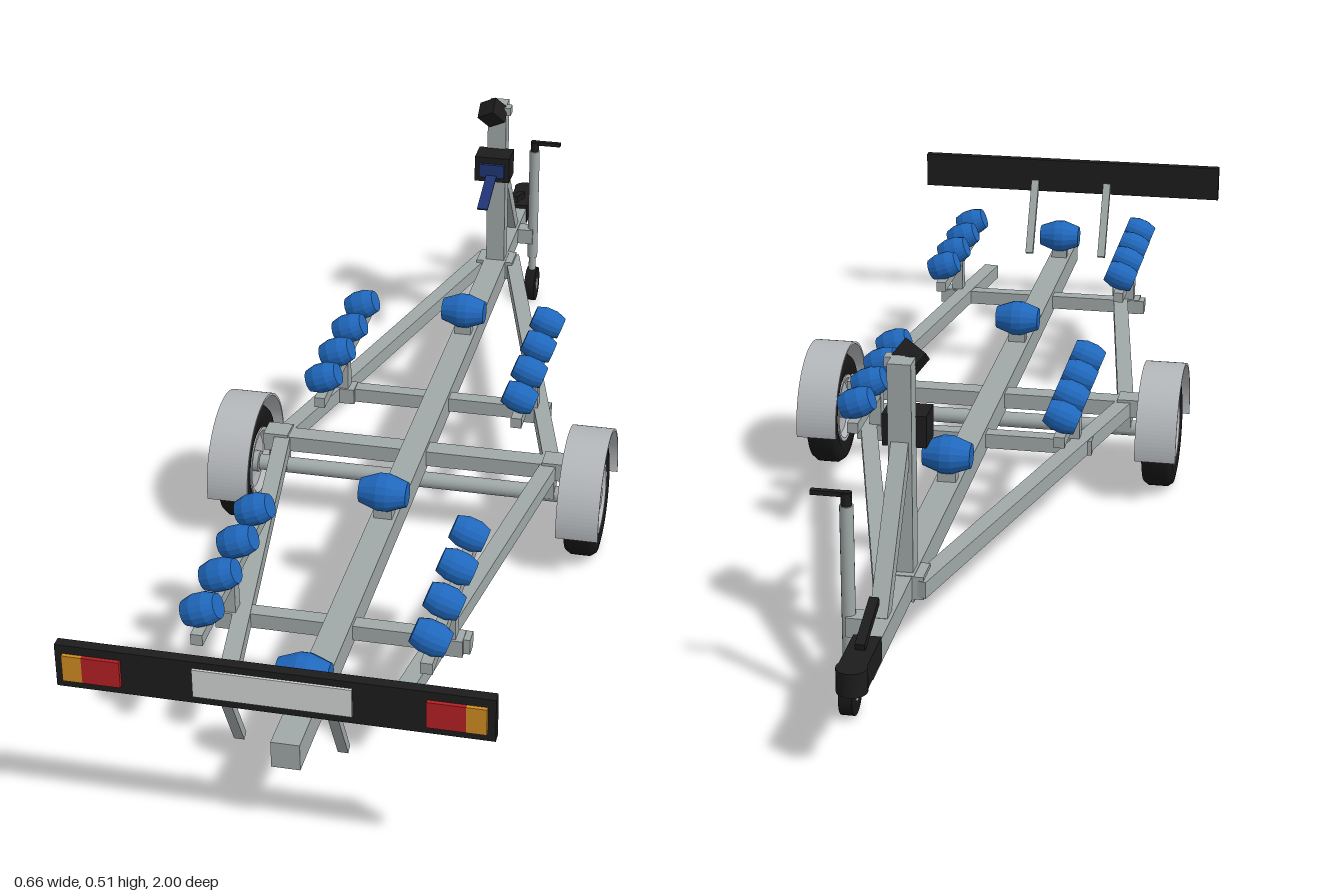
import * as THREE from 'three';

const mat = (name, color) => Object.assign(new THREE.MeshStandardMaterial({ color }), { name });

export function createModel() {
  const steel = mat('galvanised steel', 0xa0a8a8);
  const fenderGrey = mat('fender grey', 0xb4b7ba);
  const black = mat('black plastic', 0x1c1c1c);
  const rubber = mat('tyre rubber', 0x171717);
  const blue = mat('roller blue', 0x2068bd);
  const navy = mat('strap navy', 0x1f3474);
  const red = mat('lamp red', 0xb42024);
  const amber = mat('lamp amber', 0xcf8c22);
  const white = mat('plate white', 0xd2d4d4);

  const root = new THREE.Group();
  root.name = 'boatTrailer';

  const add = (name, geo, material, x = 0, y = 0, z = 0, parent = root) => {
    const m = new THREE.Mesh(geo, material);
    m.name = name;
    m.position.set(x, y, z);
    parent.add(m);
    return m;
  };
  const box = (name, material, w, h, d, x, y, z, parent) =>
    add(name, new THREE.BoxGeometry(w, h, d), material, x, y, z, parent);
  // square beam between two points
  const bar = (name, material, a, b, w, h) => {
    const p = new THREE.Vector3(...a), q = new THREE.Vector3(...b);
    const m = box(name, material, w, h, p.distanceTo(q), ...p.clone().add(q).multiplyScalar(0.5).toArray());
    m.lookAt(q);
    return m;
  };
  // turned shape with its axis along x
  const turned = (pts, sides, flat) => {
    let g = new THREE.LatheGeometry(pts.map(p => new THREE.Vector2(...p)), sides).rotateZ(-Math.PI / 2);
    if (flat) {
      g = g.toNonIndexed();
      g.computeVertexNormals();
    }
    return g;
  };
  const disc = (r, w, sides = 24) => new THREE.CylinderGeometry(r, r, w, sides).rotateZ(Math.PI / 2);

  // ---- frame ----
  box('spineBeam', steel, 0.042, 0.042, 1.62, 0, 0.141, 0.13);
  box('drawbar', steel, 0.036, 0.036, 0.25, 0, 0.143, -0.805);
  box('axleCrossBeam', steel, 0.5, 0.027, 0.034, 0, 0.142, 0.09);
  for (const z of [-0.097, 0.618]) box('crossMember', steel, 0.4, 0.025, 0.025, 0, 0.141, z);
  add('axleTube', disc(0.0135, 0.54), steel, 0, 0.097, 0.1);

  // ---- rollers ----
  const keelRoller = turned([[0, -0.0385], [0.02, -0.0385], [0.031, -0.008], [0.031, 0.008], [0.02, 0.0385], [0, 0.0385]], 16, true);
  const bunkRoller = turned([[0, -0.027], [0.019, -0.027], [0.025, -0.01], [0.025, 0.01], [0.019, 0.027], [0, 0.027]], 16, true);
  for (const z of [-0.325, 0.328, 0.832]) {
    box('keelRollerBracket', steel, 0.03, 0.03, 0.022, 0, 0.172, z);
    add('keelRoller', keelRoller, blue, 0, 0.205, z);
  }

  // ---- wheel shapes ----
  const tyre = turned([[0.058, -0.022], [0.076, -0.0275], [0.091, -0.025], [0.0975, -0.016],
    [0.0975, 0.016], [0.091, 0.025], [0.076, 0.0275], [0.058, 0.022]], 36);
  const rim = turned([[0, -0.014], [0.03, -0.014], [0.046, -0.016], [0.054, -0.025], [0.06, -0.025],
    [0.06, 0.025], [0.054, 0.025], [0.046, 0.016], [0.03, 0.014], [0, 0.014]], 32, true);
  const arch = new THREE.Shape();
  arch.absarc(0, 0, 0.118, -0.12, Math.PI + 0.12, false);
  arch.absarc(0, 0, 0.114, Math.PI + 0.12, -0.12, true);
  const fender = new THREE.ExtrudeGeometry(arch, { depth: 0.07, bevelEnabled: false, curveSegments: 28 })
    .translate(0, 0, -0.035).rotateY(Math.PI / 2);

  // ---- both sides ----
  for (const s of [1, -1]) {
    bar('frontRail', steel, [s * 0.026, 0.142, -0.68], [s * 0.233, 0.142, 0.09], 0.027, 0.026);
    bar('rearRail', steel, [s * 0.233, 0.142, 0.08], [s * 0.13, 0.142, 0.77], 0.027, 0.026);
    box('fenderBracket', steel, 0.042, 0.032, 0.04, s * 0.24, 0.144, 0.09);
    box('axleBracket', steel, 0.021, 0.04, 0.03, s * 0.231, 0.115, 0.1);

    add('tyre', tyre, rubber, s * 0.295, 0.0975, 0.1);
    add('rim', rim, fenderGrey, s * 0.295, 0.0975, 0.1);
    add('hub', disc(0.018, 0.048), steel, s * 0.295, 0.0975, 0.1);
    add('fender', fender, fenderGrey, s * 0.296, 0.0985, 0.1);

    // roller banks
    for (const c of [-0.093, 0.623]) {
      box('bankClamp', steel, 0.042, 0.028, 0.032, s * 0.169, 0.141, c);
      box('bankPost', steel, 0.02, 0.07, 0.024, s * 0.169, 0.175, c);
      box('bankBeam', steel, 0.018, 0.018, 0.345, s * 0.169, 0.213, c);
      for (let i = 0; i < 4; i++) {
        const r = add('bankRoller', bunkRoller, blue, s * 0.169, 0.245, c + (i - 1.5) * 0.0935);
        r.rotation.z = -s * 0.37;
      }
    }

    // light board arm and lamps
    bar('lightBoardArm', steel, [s * 0.075, 0.14, 0.905], [s * 0.075, 0.275, 0.978], 0.015, 0.012);
    box('redLamp', red, 0.054, 0.041, 0.006, s * 0.239, 0.287, 0.996);
    box('amberLamp', amber, 0.028, 0.041, 0.006, s * 0.28, 0.287, 0.996);
  }
  box('lightBoard', black, 0.61, 0.067, 0.016, 0, 0.287, 0.985);
  box('numberPlate', white, 0.221, 0.044, 0.004, 0, 0.288, 0.995);

  // ---- winch mast ----
  box('mast', steel, 0.035, 0.345, 0.033, 0, 0.313, -0.652);
  bar('mastStrut', steel, [0, 0.36, -0.66], [0, 0.155, -0.81], 0.026, 0.024);
  box('mastFoot', steel, 0.07, 0.036, 0.05, 0, 0.143, -0.655);
  box('snubberPin', steel, 0.03, 0.015, 0.02, 0.013, 0.478, -0.632);
  const snubber = box('bowSnubber', black, 0.038, 0.036, 0.034, -0.005, 0.477, -0.617);
  snubber.rotation.set(0.6, 0, 0.6);
  box('winchBody', black, 0.066, 0.049, 0.05, 0, 0.372, -0.614);
  box('winchDrum', navy, 0.048, 0.026, 0.01, 0, 0.371, -0.588);
  bar('winchStrap', navy, [0, 0.363, -0.588], [0, 0.332, -0.495], 0.02, 0.003);

  // ---- coupling ----
  box('couplingBody', black, 0.04, 0.036, 0.09, 0, 0.15, -0.93);
  add('couplingNose', new THREE.CylinderGeometry(0.022, 0.022, 0.036, 24), black, 0, 0.15, -0.978);
  bar('couplingLever', black, [0, 0.2, -0.84], [0, 0.172, -0.93], 0.014, 0.012);

  // ---- jockey wheel ----
  const jx = 0.046, jz = -0.805;
  box('jockeyClamp', steel, 0.035, 0.03, 0.03, 0.03, 0.143, jz);
  add('jockeyTube', new THREE.CylinderGeometry(0.01, 0.01, 0.23, 20), steel, jx, 0.21, jz);
  add('jockeyStem', new THREE.CylinderGeometry(0.007, 0.007, 0.07, 16), steel, jx, 0.07, jz);
  add('jockeyCap', new THREE.CylinderGeometry(0.008, 0.008, 0.025, 16), black, jx, 0.332, jz);
  box('jockeyCrank', black, 0.058, 0.007, 0.009, 0.068, 0.342, jz);
  add('jockeyWheel', disc(0.034, 0.02), rubber, jx, 0.034, jz);
  add('jockeyHub', disc(0.013, 0.022), steel, jx, 0.034, jz);

  return root;
}
